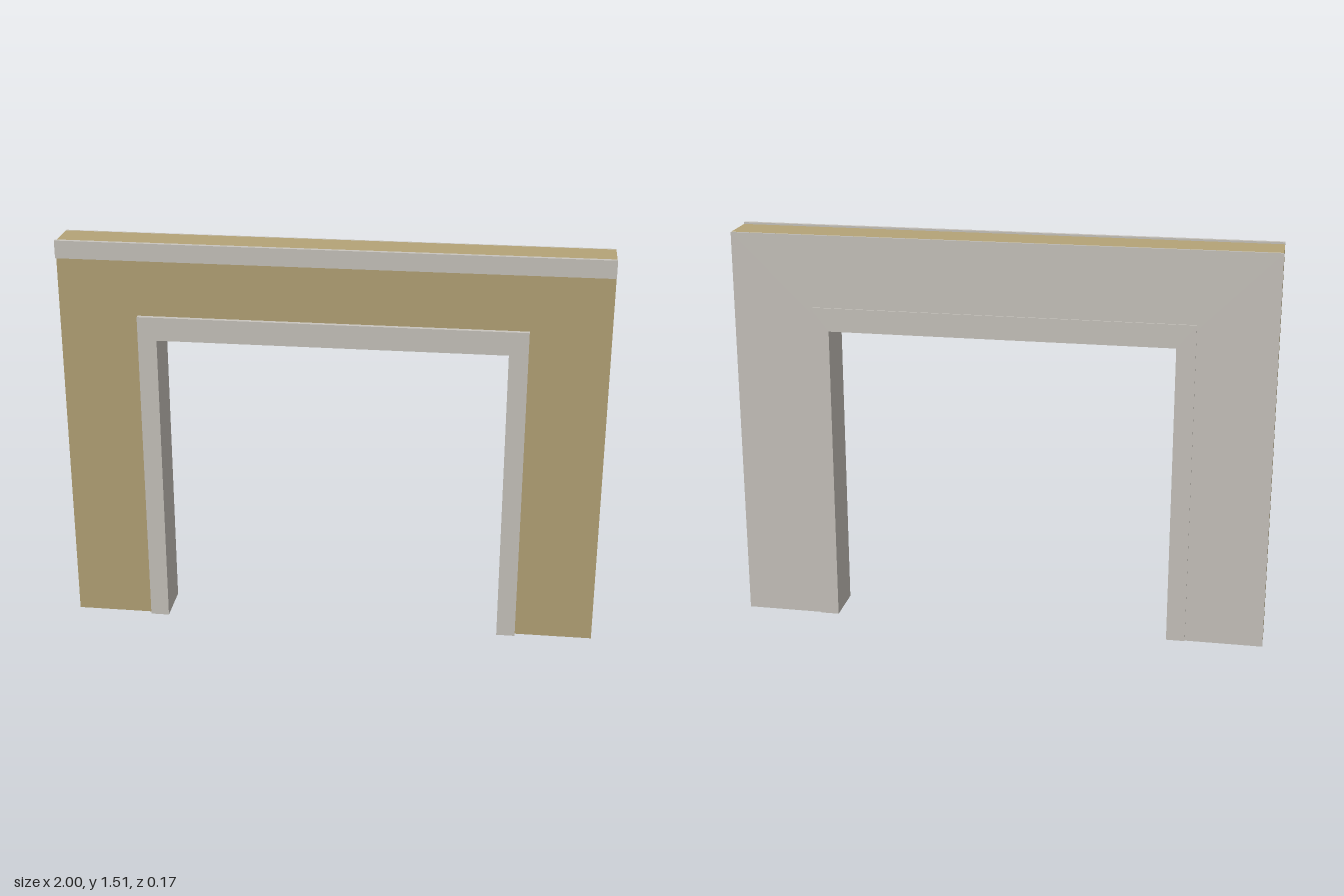
import * as THREE from 'three';

// Upside-down U outline: half width, height, opening half width, opening height
function portal(w, h, ow, oh, z0, z1) {
  const shape = new THREE.Shape([
    [-w, 0], [-ow, 0], [-ow, oh], [ow, oh], [ow, 0], [w, 0], [w, h], [-w, h],
  ].map(([x, y]) => new THREE.Vector2(x, y)));
  const geometry = new THREE.ExtrudeGeometry(shape, { depth: z1 - z0, bevelEnabled: false });
  return geometry.translate(0, 0, z0);
}

export function createModel() {
  const group = new THREE.Group();
  const tan = new THREE.MeshStandardMaterial({ name: 'tan wall', color: 0xb5a477 });
  const grey = new THREE.MeshStandardMaterial({ name: 'pale grey trim', color: 0xc9c5be });

  function add(name, geometry, material) {
    const mesh = new THREE.Mesh(geometry, material);
    mesh.name = name;
    group.add(mesh);
  }

  // Wall with its grey rear facing
  add('wall', portal(1, 1.5, 0.66, 1.16, -0.073, 0.069), tan);
  add('rearFacing', portal(1, 1.5, 0.66, 1.16, -0.081, -0.073), grey);

  // Doorway lining and the casings on both faces
  add('doorLining', portal(0.66, 1.16, 0.64, 1.142, -0.081, 0.069), grey);
  add('frontCasing', portal(0.71, 1.23, 0.64, 1.142, 0.069, 0.086), grey);
  add('rearCasing', portal(0.71, 1.23, 0.64, 1.142, -0.086, -0.081), grey);

  // Strip along the top of the front
  const strip = new THREE.BoxGeometry(2, 0.066, 0.015);
  add('topStrip', strip.translate(0, 1.474, 0.0765), grey);

  return group;
}
